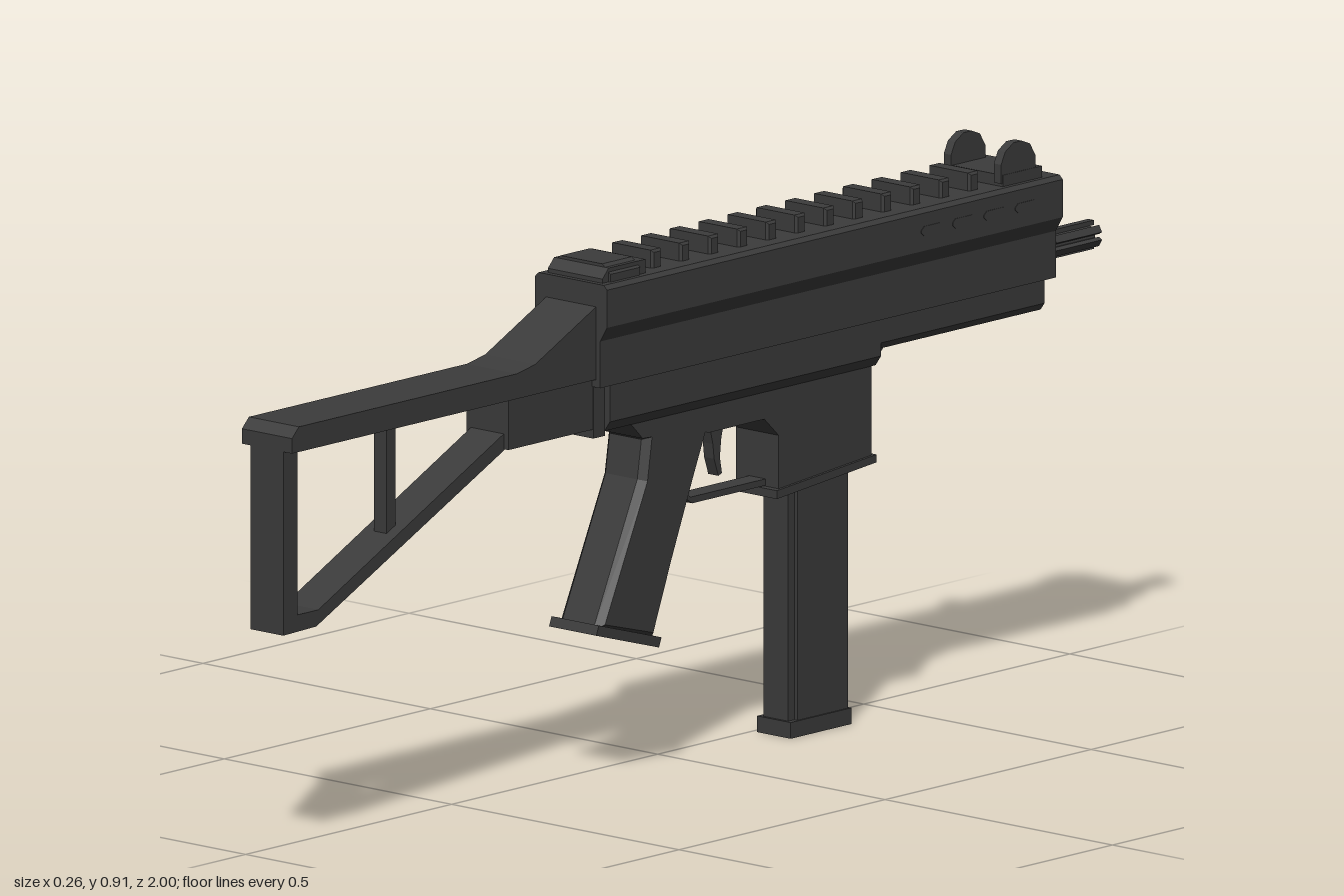
import * as THREE from 'three';

const gunmetal = new THREE.MeshStandardMaterial({ color: 0x3b3b3b, flatShading: true });
gunmetal.name = 'gunmetal';

export function createModel() {
  const model = new THREE.Group();
  model.name = 'compactCarbine';
  const body = new THREE.Group(); // everything symmetric about the bore line
  body.name = 'body';
  body.position.x = 0.047;
  model.add(body);

  const add = (name, geo, x = 0, y = 0, z = 0, parent = body) => {
    const mesh = new THREE.Mesh(geo, gunmetal);
    mesh.name = name;
    mesh.position.set(x, y, z);
    parent.add(mesh);
    return mesh;
  };
  const shapeOf = (pts) => new THREE.Shape(pts.map(([a, b]) => new THREE.Vector2(a, b)));

  // side outline in (z, y), thickened across x, with optional bevelled edges
  const side = (name, pts, half, bevel = 0, x = 0) => {
    const geo = new THREE.ExtrudeGeometry(shapeOf(pts), {
      depth: 2 * (half - bevel), bevelEnabled: bevel > 0, bevelSegments: 1,
      bevelSize: bevel, bevelThickness: bevel, bevelOffset: -bevel,
    });
    geo.translate(0, 0, -(half - bevel));
    geo.rotateY(-Math.PI / 2);
    return add(name, geo, x);
  };
  // mirrored cross-section in (x, y), run along z
  const section = (name, right, z0, z1) => {
    const left = right.map(([x, y]) => [-x, y]).reverse();
    const geo = new THREE.ExtrudeGeometry(shapeOf([...right, ...left]), { depth: z1 - z0, bevelEnabled: false });
    return add(name, geo, 0, 0, z0);
  };
  // box from its limits in y and z
  const box = (name, half, y0, y1, z0, z1, x = 0) =>
    add(name, new THREE.BoxGeometry(2 * half, y1 - y0, z1 - z0), x, (y0 + y1) / 2, (z0 + z1) / 2);

  // receiver
  section('upperReceiver', [[0.064, 0.672], [0.064, 0.75], [0.079, 0.775], [0.079, 0.838], [0.072, 0.845]], -0.844, 0.262);
  section('lowerReceiver', [[0.047, 0.593], [0.059, 0.61], [0.059, 0.674]], -0.425, 0.233);
  section('handguard', [[0.05, 0.62], [0.059, 0.632], [0.059, 0.674]], -0.822, -0.42);
  side('handguardGusset', [[-0.41, 0.59], [-0.415, 0.593], [-0.447, 0.622], [-0.41, 0.63]], 0.047);
  box('receiverRearLug', 0.047, 0.585, 0.675, 0.232, 0.26);
  box('handguardSlot', 0.012, 0.616, 0.621, -0.75, -0.5);

  // magazine housing and trigger housing
  side('magazineHousing', [
    [-0.415, 0.6], [-0.415, 0.437], [-0.19, 0.42], [-0.19, 0.515], [-0.155, 0.548],
    [-0.02, 0.548], [0.02, 0.56], [0.14, 0.565], [0.175, 0.6],
  ], 0.047);
  side('magazineHousingLip', [[-0.422, 0.432], [-0.422, 0.445], [-0.18, 0.425], [-0.18, 0.411]], 0.052);

  // magazine
  box('magazineBody', 0.034, 0.02, 0.45, -0.372, -0.25);
  box('magazineSpine', 0.027, 0.02, 0.45, -0.252, -0.235);
  box('magazineBase', 0.037, 0, 0.027, -0.378, -0.23);

  // pistol grip
  side('grip', [
    [0.165, 0.6], [0.13, 0.56], [0.14, 0.495], [0.247, 0.262], [0.107, 0.222],
    [0.06, 0.345], [0.005, 0.48], [-0.025, 0.55], [-0.025, 0.6],
  ], 0.047, 0.012);
  side('gripBase', [[0.258, 0.256], [0.252, 0.272], [0.1, 0.227], [0.106, 0.211]], 0.052);

  // trigger and guard
  side('triggerGuard', [
    [0.03, 0.468], [-0.008, 0.438], [-0.2, 0.438], [-0.2, 0.427], [-0.012, 0.427], [0.03, 0.455],
  ], 0.018);
  side('trigger', [
    [-0.06, 0.555], [-0.07, 0.515], [-0.073, 0.49], [-0.083, 0.46], [-0.092, 0.463],
    [-0.087, 0.49], [-0.09, 0.52], [-0.098, 0.555],
  ], 0.011);

  // folding stock
  side('stockTopBar', [
    [1, 0.685], [1, 0.71], [0.983, 0.727], [0.455, 0.727], [0.41, 0.735],
    [0.255, 0.81], [0.255, 0.685],
  ], 0.055);
  box('stockHinge', 0.046, 0.6, 0.69, 0.25, 0.465);
  side('stockFrame', [
    [0.46, 0.6], [0.46, 0.628], [0.915, 0.407], [0.965, 0.407], [0.965, 0.69],
    [1, 0.69], [1, 0.378], [0.92, 0.38],
  ], 0.036);
  box('stockStrut', 0.014, 0.495, 0.69, 0.703, 0.725);

  // top rail
  for (let i = 0; i < 12; i++) {
    const z = 0.104 - i * 0.07;
    side('railTooth', [[z - 0.012, 0.84], [z + 0.012, 0.84], [z + 0.012, 0.875], [z - 0.012, 0.875]], 0.046, 0.004);
  }

  // sights
  section('rearSight', [[0.064, 0.84], [0.064, 0.858], [0.046, 0.873]], 0.165, 0.237);
  side('rearSightRamps', [[0.252, 0.84], [0.252, 0.852], [0.237, 0.868], [0.165, 0.868], [0.148, 0.868], [0.148, 0.84]], 0.06);
  box('frontSightBase', 0.064, 0.84, 0.864, -0.81, -0.715);
  for (const s of [-1, 1]) {
    side('frontSightEar', [
      [-0.795, 0.85], [-0.795, 0.885], [-0.782, 0.906], [-0.762, 0.914], [-0.742, 0.914],
      [-0.722, 0.902], [-0.712, 0.882], [-0.712, 0.85],
    ], 0.008, 0, s * 0.055);
    // vent slots along the flanks
    for (let i = 0; i < 4; i++) {
      const z = -0.527 - i * 0.076;
      side('ventSlot', [
        [z - 0.027, 0.806], [z - 0.02, 0.8], [z + 0.02, 0.8], [z + 0.027, 0.806],
        [z + 0.027, 0.81], [z + 0.02, 0.816], [z - 0.02, 0.816], [z - 0.027, 0.81],
      ], 0.001, 0, s * 0.079);
    }
  }

  // barrel with a slotted muzzle
  const barrel = (name, r, z0, z1) => {
    const geo = new THREE.CylinderGeometry(r, r, z1 - z0, 12);
    geo.rotateX(Math.PI / 2);
    add(name, geo, 0, 0.709, (z0 + z1) / 2);
  };
  barrel('barrel', 0.018, -0.99, -0.8);
  barrel('barrelCollar', 0.024, -0.885, -0.84);
  for (let i = 0; i < 6; i++) {
    const a = (i / 6) * Math.PI * 2;
    const rib = add('muzzleRib', new THREE.BoxGeometry(0.013, 0.008, 0.11), Math.sin(a) * 0.02, 0.709 + Math.cos(a) * 0.02, -0.945);
    rib.rotation.z = -a;
  }

  // charging handle on the right side
  const knob = [[0, 0], [0.014, 0], [0.014, 0.03], [0.011, 0.06], [0.019, 0.085], [0.026, 0.11], [0.021, 0.14], [0, 0.14]];
  const handle = add('chargingHandle',
    new THREE.LatheGeometry(knob.map(([r, h]) => new THREE.Vector2(r, h)), 12), 0.01, 0.646, -0.65, model);
  handle.rotation.set(0, -0.22, Math.PI / 2, 'YXZ');

  return model;
}
